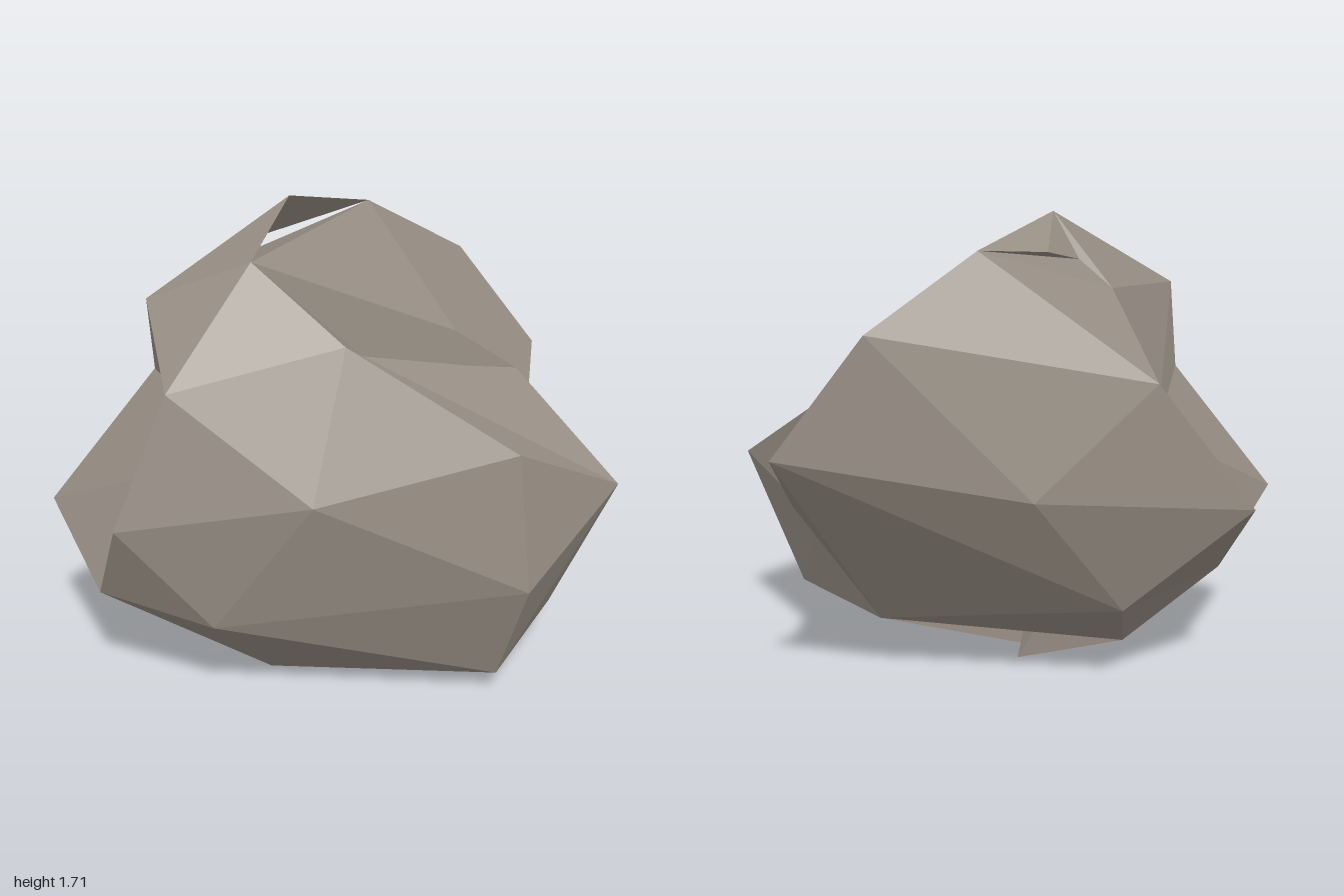
import * as THREE from 'three';
import { ConvexGeometry } from 'three/addons/geometries/ConvexGeometry.js';

// Corner points of the boulder, shared between neighbouring chunks
const P = {
  // crown
  peak: [-0.147, 1.71, 0.126], brow: [0.054, 1.57, 0.44], crownBack: [-0.243, 1.61, -0.32],
  crownSide: [-0.3, 1.59, -0.05], gill: [-0.275, 1.55, 0.13], overhangL: [-0.24, 1.42, 0.67],
  overhangR: [0.07, 1.196, 0.805], shoulder: [-0.38, 1.453, 0.19],
  // front
  recess: [0.21, 0.975, 0.62], panelTop: [-0.343, 1.12, 0.59], nose: [0.016, 0.738, 1],
  chin: [-0.175, 0.416, 0.965], cheek: [-0.554, 0.63, 0.925], jaw: [-0.29, 0.224, 0.66],
  frontLow: [0.208, 0.364, 0.745],
  // +x flank
  flankTop: [0.388, 1.335, 0.31], flankMid: [0.484, 0.855, 0.525], ridge: [0.8, 0.977, -0.1],
  ridgeTip: [0.853, 0.757, -0.556], flankOut: [0.87, 0.486, -0.104], flankLow: [0.72, 0.085, -0.12],
  valley: [0.148, 1.227, 0.193], valleyEdge: [0.27, 1.23, -0.3],
  // back
  notchTop: [0.34, 1.05, -0.55], notch: [0.41, 0.57, -0.548], heel: [0.668, 0.243, -0.44],
  spurSide: [0.175, 0.74, -0.807], spur: [0.005, 0.965, -1], spurTop: [-0.18, 1.37, -0.75],
  backLow: [0.165, 0.23, -0.445],
  // -x flank
  wing: [-0.52, 0.8, -0.32], wingTop: [-0.694, 1.173, 0.09], wingTip: [-0.874, 0.706, 0.412],
  cleft: [-0.52, 0.944, 0.288], wingLow: [-0.633, 0.407, 0.527], under: [-0.567, 0.33, 0.077],
  // base
  foot: [0.02, 0, 0.158], footBack: [-0.093, 0.02, 0.012], footFront: [0.115, 0.042, 0.44],
  footSide: [-0.44, 0.14, 0.22],
};

// Each chunk is the convex block through its corners; creases form where chunks meet
const CHUNKS = {
  rightFlank: 'overhangR flankTop flankMid ridge ridgeTip flankOut flankLow footFront frontLow nose recess valley heel notch backLow foot',
  notchWedge: 'valley notchTop ridgeTip notch backLow',
  valleyFloor: 'crownBack brow valleyEdge notchTop valley spurSide notch backLow shoulder under',
  backSpur: 'crownBack spurTop spur spurSide backLow wing wingTop shoulder under',
  crownFin: 'peak crownBack crownSide gill',
  crownPeak: 'peak brow overhangL shoulder gill',
  crown: 'brow flankTop overhangL overhangR recess valley shoulder',
  frontNeck: 'overhangL shoulder panelTop cleft recess',
  frontFace: 'panelTop recess chin cheek jaw cleft wingLow footFront frontLow foot footBack footSide',
  noseWedge: 'nose chin recess frontLow footFront',
  leftShoulder: 'shoulder wingTop cleft wing',
  leftWing: 'wingTop cleft wingTip wing under',
  leftWingUnderside: 'cleft wingTip wingLow under wing',
  base: 'footFront flankLow backLow under wingLow heel footSide',
};

export function createModel() {
  const group = new THREE.Group();
  group.name = 'boulder';
  const stone = new THREE.MeshStandardMaterial({ color: 0x968d83 });
  stone.name = 'stone';
  for (const [name, corners] of Object.entries(CHUNKS)) {
    const points = corners.split(' ').map((key) => new THREE.Vector3(...P[key]));
    const mesh = new THREE.Mesh(new ConvexGeometry(points), stone);
    mesh.name = name;
    group.add(mesh);
  }
  return group;
}
